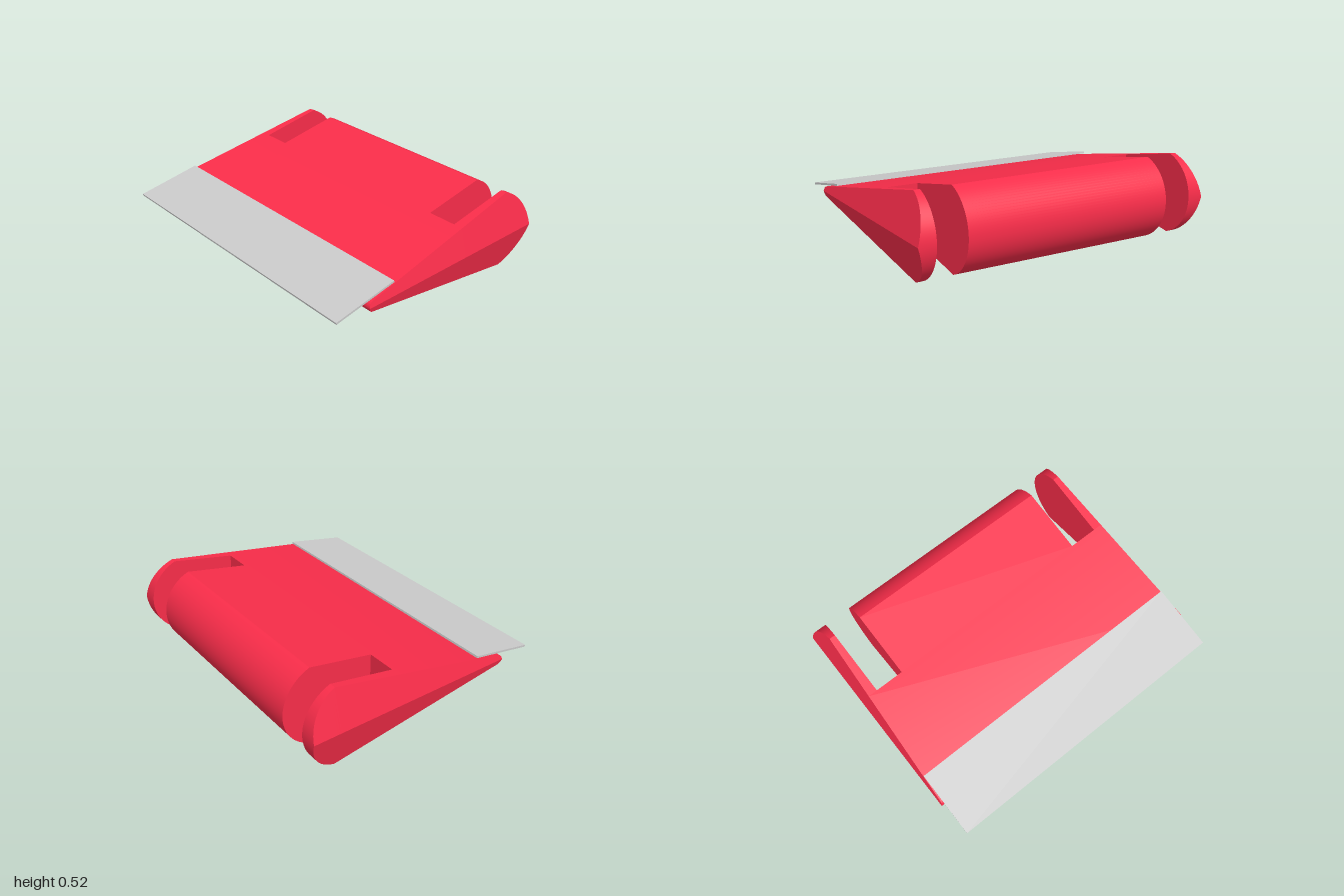
import * as THREE from 'three';
import { toCreasedNormals } from 'three/addons/utils/BufferGeometryUtils.js';

const MID = 0.26;                       // height of the wedge's centre line
const SLOT_IN = 0.7, SLOT_OUT = 0.89, SLOT_Z = -0.2;
const TIP = { z: 0.554, r: 0.036 };     // rounded front edge
const BACK = { z: -0.54, r: 0.275 };    // rounded rear

// Half-heights of the wedge along z, from rear to front
function stations() {
  const list = [];
  const start = Math.PI, end = Math.PI - Math.atan2(0.26, 0.09);
  for (let i = 0; i <= 20; i++) {
    const a = start + (end - start) * (i / 20);
    list.push([BACK.z + BACK.r * Math.cos(a), i ? BACK.r * Math.sin(a) : 0]);
  }
  const [z0, h0] = list[list.length - 1];
  const top = THREE.MathUtils.degToRad(79.5);
  const z1 = TIP.z + TIP.r * Math.cos(top), h1 = TIP.r * Math.sin(top);
  list.push([SLOT_Z, h0 + (h1 - h0) * (SLOT_Z - z0) / (z1 - z0)]);
  for (let i = 0; i <= 10; i++) {
    const a = top * (1 - i / 10);
    list.push([TIP.z + TIP.r * Math.cos(a), TIP.r * Math.sin(a)]);
  }
  return list;
}

// The outer sides lean inwards above and below the centre line
const outer = (h) => 1 - Math.abs(h) * 0.27;
const at = (x) => () => x;

function wedgeGeometry() {
  const pos = [];
  const tri = (a, b, c) => {
    const area = b.clone().sub(a).cross(c.clone().sub(a)).length();
    if (area > 1e-9) for (const p of [a, b, c]) pos.push(p.x, p.y, p.z);
  };
  const quad = (a, b, c, d) => { tri(a, b, c); tri(a, c, d); };
  const point = (edge, h, z) => new THREE.Vector3(edge(h), MID + h, z);
  const left = outer, right = (h) => -outer(h);
  const whole = [[right, left]];
  const split = [[right, at(-SLOT_OUT)], [at(-SLOT_IN), at(SLOT_IN)], [at(SLOT_OUT), left]];

  const list = stations();
  for (let i = 0; i < list.length - 1; i++) {
    const [za, ha] = list[i], [zb, hb] = list[i + 1];
    for (const [lo, hi] of za < SLOT_Z - 1e-6 ? split : whole) {
      // top and bottom skin
      quad(point(lo, ha, za), point(lo, hb, zb), point(hi, hb, zb), point(hi, ha, za));
      quad(point(lo, -ha, za), point(hi, -ha, za), point(hi, -hb, zb), point(lo, -hb, zb));
      // side walls, folded at the centre line
      for (const [ta, tb, ua, ub] of [[ha, hb, 0, 0], [0, 0, -ha, -hb]]) {
        quad(point(hi, ta, za), point(hi, tb, zb), point(hi, ub, zb), point(hi, ua, za));
        quad(point(lo, ta, za), point(lo, ua, za), point(lo, ub, zb), point(lo, tb, zb));
      }
    }
    // inner end walls of the two slots
    if (Math.abs(zb - SLOT_Z) < 1e-6) {
      for (const [x0, x1] of [[-SLOT_OUT, -SLOT_IN], [SLOT_IN, SLOT_OUT]]) {
        quad(point(at(x0), -hb, zb), point(at(x0), hb, zb), point(at(x1), hb, zb), point(at(x1), -hb, zb));
      }
    }
  }
  const geo = new THREE.BufferGeometry();
  geo.setAttribute('position', new THREE.Float32BufferAttribute(pos, 3));
  return toCreasedNormals(geo, 0.3);
}

export function createModel() {
  const group = new THREE.Group();

  // Slotted wedge body
  const body = new THREE.Mesh(wedgeGeometry(), new THREE.MeshStandardMaterial({ color: 0xfa2d4a }));
  body.name = 'wedgeBody';
  group.add(body);

  // Thin plate lying along the front slope
  const plate = new THREE.Mesh(
    new THREE.BoxGeometry(1.96, 0.013, 0.434),
    new THREE.MeshStandardMaterial({ color: 0xcccccc })
  );
  plate.name = 'frontPlate';
  plate.position.set(0, 0.3, 0.603);
  plate.rotation.x = 0.184;
  group.add(plate);

  return group;
}
